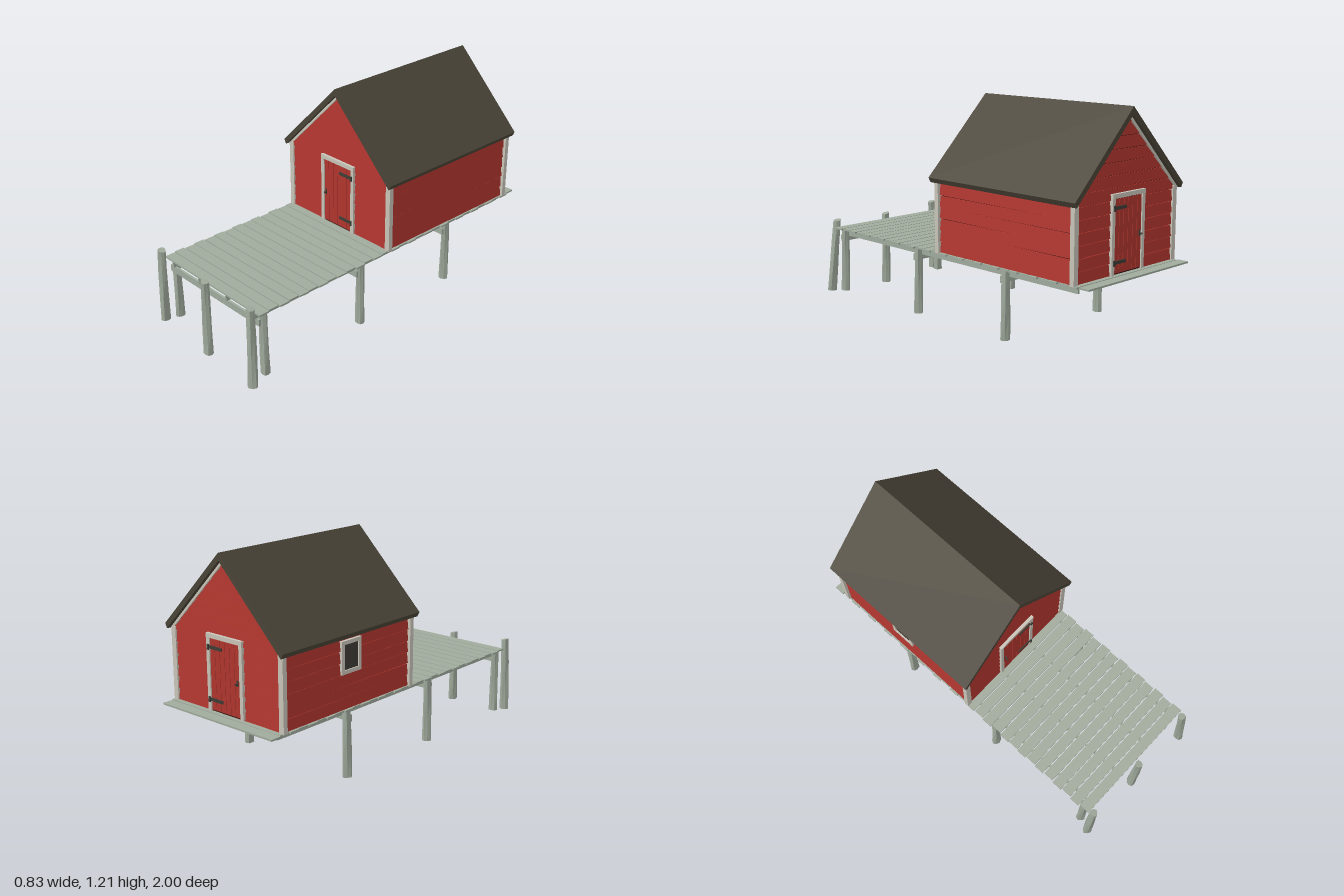
import * as THREE from 'three';

const mat = (name, color) => Object.assign(new THREE.MeshStandardMaterial({ color }), { name });

export function createModel() {
  const M = {
    red: mat('barn red', 0xb0352e),
    gap: mat('gap shadow red', 0x3a1512),
    trim: mat('pale trim', 0xc8c4b8),
    wood: mat('weathered wood', 0xa0aa9c),
    roof: mat('dark roof', 0x4a4437),
    iron: mat('dark iron', 0x3f3c35),
  };
  M.wood.flatShading = true;
  const model = new THREE.Group();
  model.name = 'boathouse';

  let seed = 7;
  const rand = () => ((seed = (seed * 16807) % 2147483647) / 2147483647) * 2 - 1;

  const add = (parent, name, geo, material) => {
    const m = new THREE.Mesh(geo, material);
    m.name = name;
    parent.add(m);
    return m;
  };
  const box = (parent, name, material, w, h, d, x, y, z) => {
    const m = add(parent, name, new THREE.BoxGeometry(w, h, d), material);
    m.position.set(x, y, z);
    return m;
  };
  const group = (name) => {
    const g = new THREE.Group();
    g.name = name;
    model.add(g);
    return g;
  };
  const extrude = (pts, depth) => new THREE.ExtrudeGeometry(
    new THREE.Shape(pts.map(([x, y]) => new THREE.Vector2(x, y))), { depth, bevelEnabled: false });

  // Rough eight-sided post between two points
  const post = (parent, name, bottom, top, r, phase, slant) => {
    const a = new THREE.Vector3(...bottom), b = new THREE.Vector3(...top);
    const len = a.distanceTo(b);
    const geo = new THREE.CylinderGeometry(r * 0.82, r, len, 8, 3);
    const p = geo.attributes.position;
    for (let i = 0; i < p.count; i++) {
      const x = p.getX(i), y = p.getY(i), z = p.getZ(i);
      const s = 1 + 0.1 * Math.sin(3 * Math.atan2(z, x) + y * 9 + phase);
      p.setXYZ(i, x * s, y + (y > len * 0.49 ? x * slant : 0), z * s);
    }
    geo.computeVertexNormals();
    const m = add(parent, name, geo, M.wood);
    m.position.copy(a).add(b).multiplyScalar(0.5);
    m.quaternion.setFromUnitVectors(new THREE.Vector3(0, 1, 0), b.sub(a).normalize());
  };

  // Deck planks with uneven ends and edges
  const deck = group('deck');
  const N = 30, pitch = 1.92 / N;
  for (let i = 0; i < N; i++) {
    const shift = (i % 2 ? 0.004 : -0.004) + rand() * 0.002;
    const plank = box(deck, 'deckPlank', M.wood, 0.768, 0.009, pitch - 0.006,
      shift, 0.4, -1 + pitch * (i + 0.5));
    plank.rotation.y = rand() * 0.003;
  }
  // Joists, cross beams and support posts
  for (const x of [-0.325, -0.105, 0.115, 0.335])
    box(deck, 'joist', M.wood, 0.01, 0.038, 1.81, x, 0.377, 0.005);
  [0.87, 0.22, -0.44].forEach((z, i) => {
    box(deck, 'crossBeam', M.wood, 0.72, 0.037, 0.012, 0, 0.34, z + 0.026);
    for (const s of [-1, 1])
      post(deck, 'supportPost', [s * 0.357, 0.035, z], [s * 0.352, 0.395, z], 0.025, i + s, 0);
  });
  // Mooring posts at the front edge
  post(deck, 'mooringPost', [-0.385, 0.03, 0.945], [-0.372, 0.455, 0.942], 0.026, 0, -0.2);
  post(deck, 'mooringPost', [-0.004, 0.004, 0.947], [-0.006, 0.43, 0.945], 0.026, 2, -0.25);
  post(deck, 'mooringPost', [0.384, 0.02, 0.974], [0.352, 0.44, 0.945], 0.026, 4, -0.3);

  // House core, visible only in the gaps between boards
  const ZC = -0.435, base = 0.405;
  const house = group('house');
  const core = add(house, 'wallCore', extrude(
    [[-0.355, base], [0.355, base], [0.355, 0.79], [0, 1.15], [-0.355, 0.79]], 0.91), M.gap);
  core.position.z = ZC - 0.455;

  // Overlapping boards; halfW gives the half width at a height
  const siding = (name, halfW, top, bend) => {
    const g = group(name);
    const step = 0.0607;
    for (let y0 = base; y0 < top - 0.01; y0 += step) {
      const y1 = Math.min(y0 + step - 0.004, top);
      const ys = bend > y0 && bend < y1 ? [y0, bend, y1] : [y0, y1];
      const right = ys.map((y) => [Math.max(halfW(y), 0.001), y - y0]);
      const left = right.map(([x, y]) => [-x, y]).reverse();
      const geo = extrude([...right, ...left], 0.01);
      geo.rotateX(-0.12);
      const board = add(g, 'wallBoard', geo, M.red);
      board.position.y = y0;
      board.rotation.z = rand() * 0.003;
    }
    return g;
  };

  // Plank door with frame, hinges and handle; side is where the hinges sit
  const door = (parent, side) => {
    const g = new THREE.Group();
    g.name = 'door';
    parent.add(g);
    box(g, 'doorBacking', M.gap, 0.21, 0.375, 0.008, 0, 0.595, 0.009);
    for (let i = 0; i < 6; i++)
      box(g, 'doorPlank', M.red, 0.0315, 0.362, 0.008, -0.085 + i * 0.034, 0.595, 0.012);
    for (const s of [-1, 1])
      box(g, 'doorJamb', M.trim, 0.021, 0.375, 0.02, s * 0.1135, 0.593, 0.011);
    box(g, 'doorLintel', M.trim, 0.248, 0.022, 0.022, 0, 0.791, 0.012);
    for (const y of [0.467, 0.733]) {
      box(g, 'hingeStrap', M.iron, 0.088, 0.016, 0.006, side * 0.062, y, 0.019);
      box(g, 'hingePin', M.iron, 0.011, 0.028, 0.01, side * 0.109, y, 0.022);
    }
    box(g, 'handlePlate', M.iron, 0.01, 0.03, 0.005, side * -0.088, 0.587, 0.018);
    box(g, 'handleLever', M.iron, 0.008, 0.008, 0.016, side * -0.088, 0.585, 0.025);
  };

  // Gable ends
  const gableW = (y) => Math.min(0.37, 1.165 - y);
  const chevron = [[-0.39, 0.788], [-0.39, 0.764], [0, 1.154], [0.39, 0.764], [0.39, 0.788], [0, 1.178]];
  [1, -1].forEach((s) => {
    const wall = siding(s > 0 ? 'frontWall' : 'backWall', gableW, 1.16, 0.795);
    wall.position.z = ZC + s * 0.465;
    wall.rotation.y = s > 0 ? 0 : Math.PI;
    door(wall, s);
    add(wall, 'gableTrim', extrude(chevron, 0.014), M.trim);
  });

  // Side walls
  const sides = [1, -1].map((s) => {
    const wall = siding(s > 0 ? 'leftWall' : 'rightWall', () => 0.46, 0.79, 9);
    wall.position.set(s * 0.365, 0, ZC);
    wall.rotation.y = s * Math.PI / 2;
    return wall;
  });

  // Corner boards
  for (const sx of [-1, 1]) for (const sz of [-1, 1])
    box(house, 'cornerBoard', M.trim, 0.03, 0.385, 0.026, sx * 0.373, 0.594, ZC + sz * 0.467);

  // Window on the right wall
  const win = new THREE.Group();
  win.name = 'window';
  win.position.set(0, 0.675, 0);
  sides[1].add(win);
  box(win, 'windowPane', M.iron, 0.11, 0.14, 0.008, 0, 0, 0.009);
  for (const s of [-1, 1]) {
    box(win, 'windowJamb', M.trim, 0.02, 0.17, 0.02, s * 0.062, 0, 0.01);
    box(win, 'windowRail', M.trim, 0.104, 0.02, 0.02, 0, s * 0.075, 0.01);
  }

  // Roof
  const roof = add(house, 'roof', extrude([[0, 1.21], [-0.41, 0.8], [-0.397, 0.775], [0, 1.172],
    [0.397, 0.775], [0.41, 0.8]], 1.0), M.roof);
  roof.position.z = -0.935;

  return model;
}
